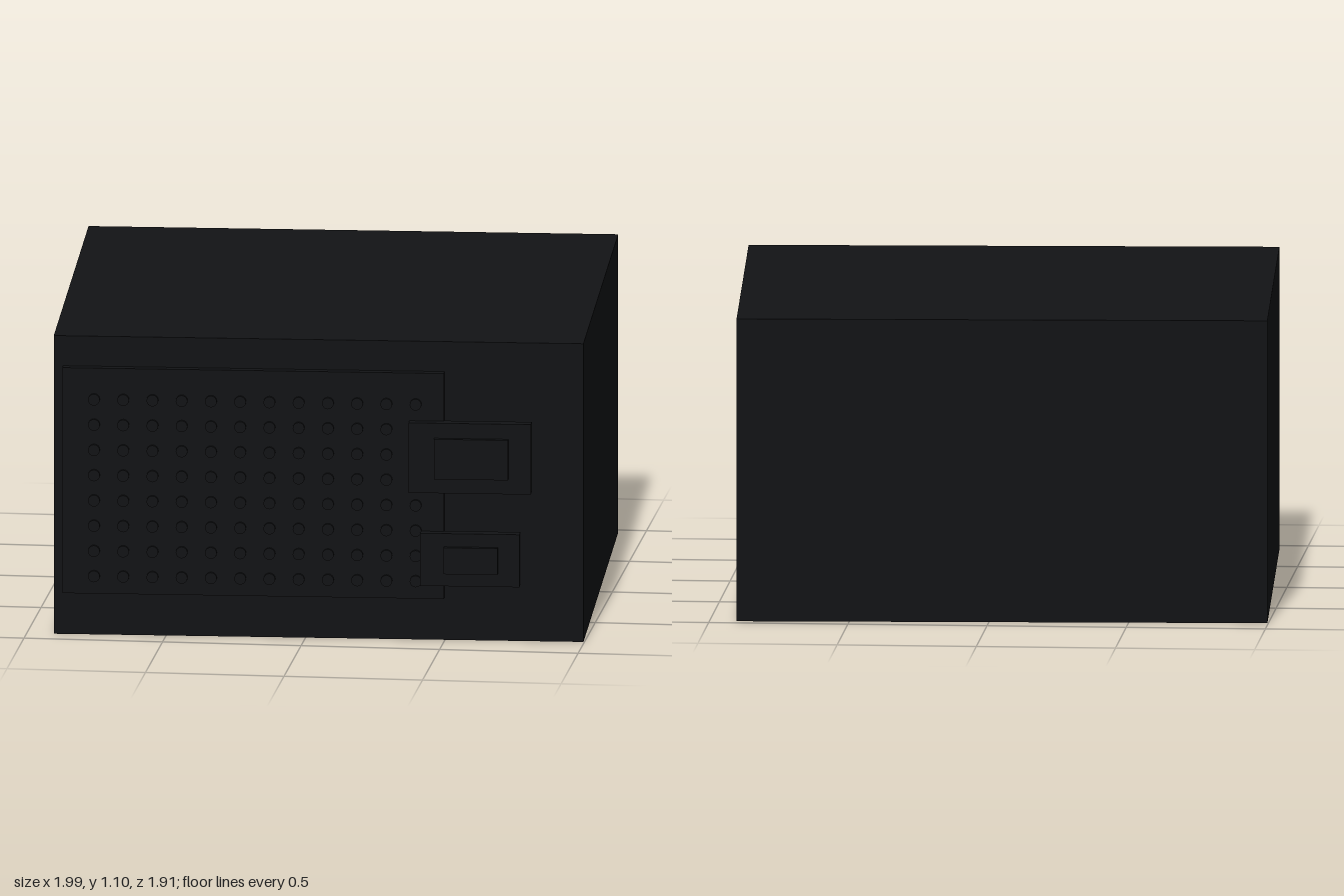
import * as THREE from 'three';

const material = new THREE.MeshStandardMaterial({ color: 0x121315 });

// Box given by its extents along each axis
function block(name, [x0, x1], [y0, y1], [z0, z1]) {
  const mesh = new THREE.Mesh(new THREE.BoxGeometry(x1 - x0, y1 - y0, z1 - z0), material);
  mesh.position.set((x0 + x1) / 2, (y0 + y1) / 2, (z0 + z1) / 2);
  mesh.name = name;
  return mesh;
}

// Flat latch slab with a raised inner pad
function latch(name, x, y, padX, padY) {
  const group = new THREE.Group();
  group.name = name;
  group.add(
    block('latchSlab', x, y, [0.912, 0.956]),
    block('latchPad', padX, padY, [0.95, 0.974]),
  );
  return group;
}

export function createModel() {
  const model = new THREE.Group();
  model.name = 'case';

  // Everything sits slightly turned about the vertical axis
  const turned = new THREE.Group();
  turned.name = 'turnedCase';
  turned.rotation.y = 0.0526;
  turned.position.z = -0.022;
  model.add(turned);

  // Main body and front plate
  turned.add(
    block('body', [-0.951, 0.951], [0, 1.095], [-0.889, 0.889]),
    block('frontPlate', [-0.918, 0.452], [0.157, 0.985], [0.88, 0.921]),
  );

  // Grid of round studs on the plate
  const studs = new THREE.Group();
  studs.name = 'studs';
  const studGeometry = new THREE.CylinderGeometry(0.021, 0.021, 0.024, 16).rotateX(Math.PI / 2);
  for (let column = 0; column < 12; column++) {
    for (let row = 0; row < 8; row++) {
      const stud = new THREE.Mesh(studGeometry, material);
      stud.name = 'stud';
      stud.position.set(-0.804 + column * 0.105, 0.222 + row * 0.0927, 0.921);
      studs.add(stud);
    }
  }
  turned.add(studs);

  // Two latches overhanging the right edge of the plate
  turned.add(
    latch('upperLatch', [0.328, 0.767], [0.553, 0.81], [0.42, 0.686], [0.608, 0.755]),
    latch('lowerLatch', [0.369, 0.726], [0.212, 0.405], [0.455, 0.648], [0.26, 0.357]),
  );

  return model;
}
